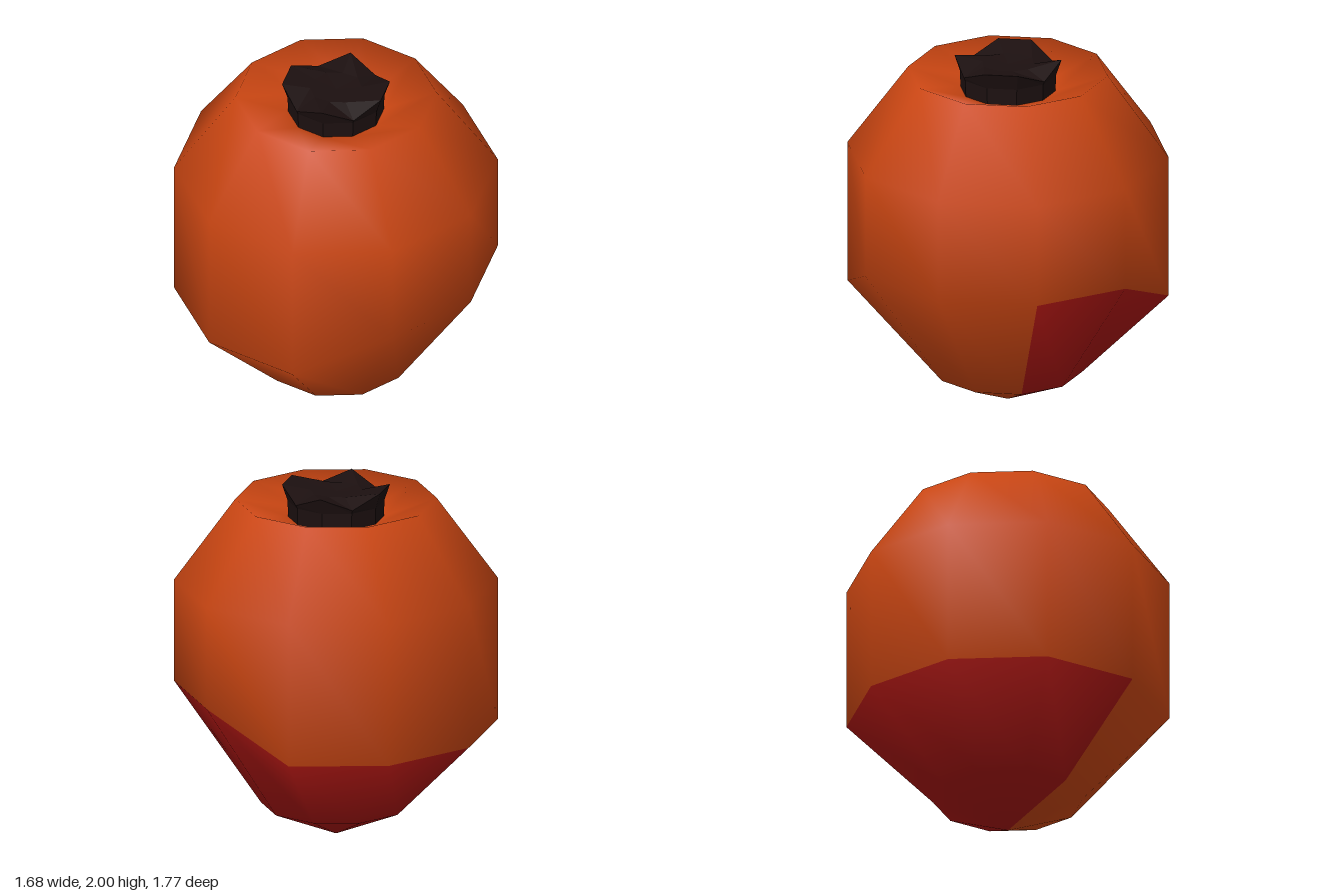
import * as THREE from 'three';

const SIDES = 10;

// Rings run from top to bottom; each gives [radius, height] for side k. First and last are poles.
function ringVertices(rings) {
  const pos = [];
  for (const ring of rings) {
    for (let k = 0; k < SIDES; k++) {
      const [r, y] = ring(k);
      const a = (k / SIDES) * Math.PI * 2;
      pos.push(r * Math.sin(a), y, r * Math.cos(a));
    }
  }
  const geo = new THREE.BufferGeometry();
  geo.setAttribute('position', new THREE.Float32BufferAttribute(pos, 3));
  return geo;
}

// Triangles between neighbouring rings, for the faces that pass the filter
function ringFaces(count, keep = () => true) {
  const last = count - 1;
  const id = (i, k) => i * SIDES + (i === 0 || i === last ? 0 : k % SIDES);
  const index = [];
  for (let i = 0; i < last; i++) {
    for (let k = 0; k < SIDES; k++) {
      if (!keep(i, k)) continue;
      const a = id(i, k), b = id(i, k + 1), c = id(i + 1, k), d = id(i + 1, k + 1);
      if (c !== d) index.push(a, c, d);
      if (a !== b) index.push(a, d, b);
    }
  }
  return index;
}

export function createModel() {
  const model = new THREE.Group();
  const add = (name, geo, params) => {
    const mesh = new THREE.Mesh(geo, new THREE.MeshStandardMaterial(params));
    mesh.name = name;
    model.add(mesh);
  };

  // Fruit: dented top, straight flanks, lower edge higher on the left, pointed base
  const fruitRings = [
    () => [0, 1.73],
    () => [0.27, 1.82],
    () => [0.55, 1.92],
    () => [0.885, 1.46],
    (k) => [0.885, k >= 1 && k <= 4 ? 0.88 : 0.65],
    () => [0.41, 0.18],
    () => [0, 0],
  ];
  const n = fruitRings.length;
  const skin = ringVertices(fruitRings);
  skin.setIndex(ringFaces(n));
  skin.computeVertexNormals();

  // The red patch covers six sides of the underside and shares the skin's normals
  const isRed = (i, k) => i >= 4 && k >= 3 && k <= 8;
  const patch = skin.clone();
  patch.setIndex(ringFaces(n, isRed));
  skin.setIndex(ringFaces(n, (i, k) => !isRed(i, k)));
  add('fruitSkin', skin, { color: 0xc84512 });
  add('redPatch', patch, { color: 0xa81512 });

  // Stem: ten-sided stub whose rim flares into tips with four lower notches
  const notch = (k) => [1, 4, 6, 9].includes(k);
  const stemRings = [
    () => [0, 1.96],
    (k) => (notch(k) ? [0.15, 1.97] : [0.14, 1.97]),
    (k) => (notch(k) ? [0.275, 1.93] : [0.295, 2.0]),
    () => [0.265, 1.91],
    () => [0.26, 1.76],
    () => [0, 1.76],
  ];
  const stemBase = ringVertices(stemRings);
  stemBase.setIndex(ringFaces(stemRings.length));
  const stem = stemBase.toNonIndexed();
  stem.computeVertexNormals();
  add('stem', stem, { color: 0x1c1010, flatShading: true });

  return model;
}
